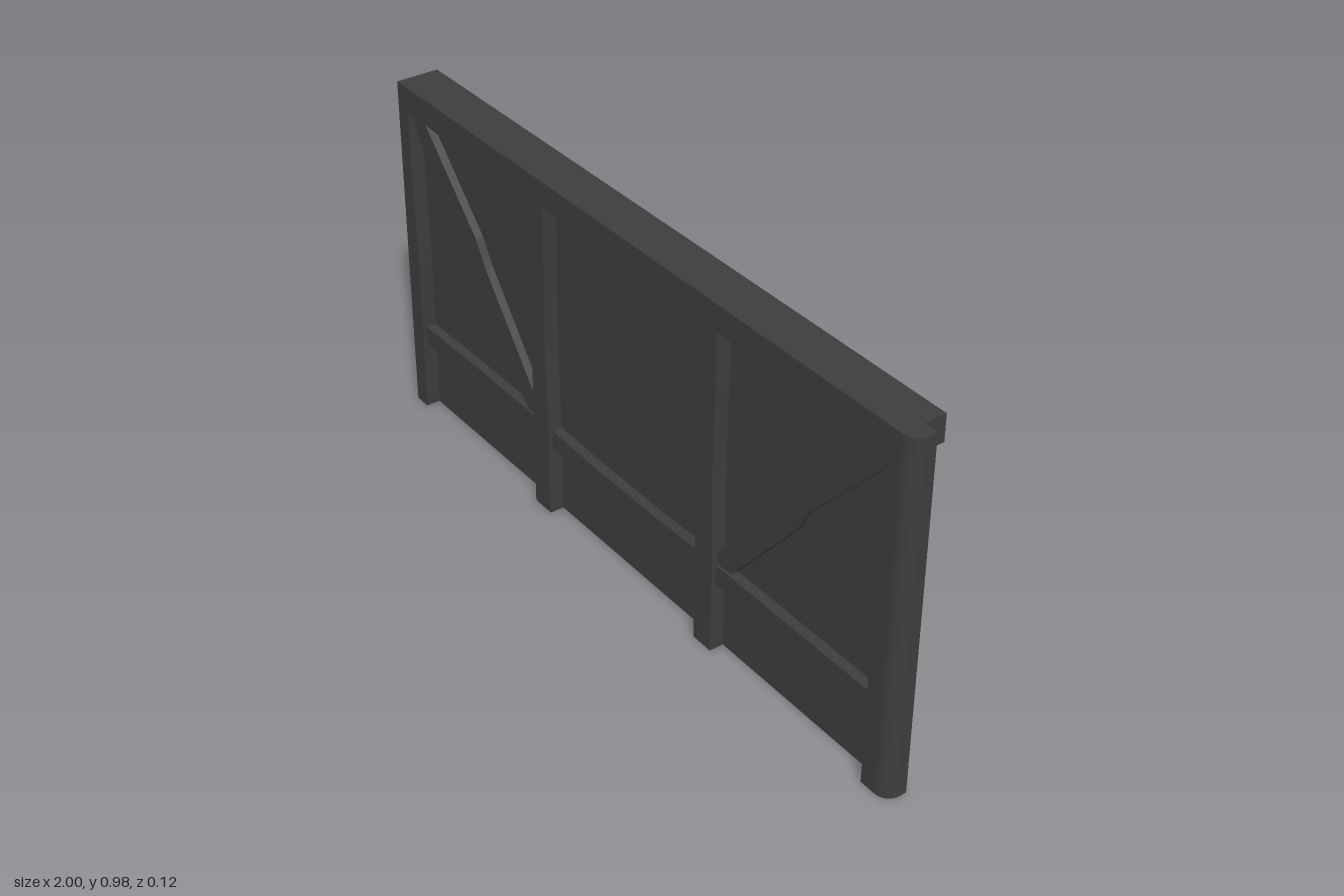
import * as THREE from 'three';

export function createModel() {
  const model = new THREE.Group();
  const material = new THREE.MeshStandardMaterial({ color: 0x3d3d3d });

  const add = (name, geometry) => {
    const mesh = new THREE.Mesh(geometry, material);
    mesh.name = name;
    model.add(mesh);
    return mesh;
  };

  // Flat timber cut from an outline in x and y, reaching from z0 to z1
  const timber = (name, points, z0, z1) => {
    const shape = new THREE.Shape(points.map(([x, y]) => new THREE.Vector2(x, y)));
    const geometry = new THREE.ExtrudeGeometry(shape, { depth: z1 - z0, bevelEnabled: false });
    return add(name, geometry.translate(0, 0, z0));
  };

  // Backing panel
  const panel = new THREE.BoxGeometry(1.96, 0.95, 0.043);
  add('panel', panel.translate(-0.02, 0.475, -0.0015));

  // Top rail and the lip overhanging the back, with uneven undersides
  timber('topRail', [
    [-1, 0.98], [-1, 0.909], [-0.955, 0.909], [-0.6, 0.906], [-0.33, 0.912],
    [0.05, 0.909], [0.3, 0.904], [0.36, 0.908], [0.6, 0.913], [0.914, 0.909], [0.914, 0.98],
  ], 0, 0.06);
  timber('backLip', [
    [-1, 0.98], [-1, 0.909], [-0.6, 0.906], [-0.33, 0.912],
    [0.05, 0.909], [0.3, 0.905], [0.6, 0.912], [0.96, 0.909], [0.96, 0.98],
  ], -0.06, 0);

  // Left end post
  timber('leftEndPost', [
    [-1, 0], [-0.952, 0], [-0.948, 0.2], [-0.946, 0.45], [-0.953, 0.68], [-0.955, 0.909], [-1, 0.909],
  ], 0, 0.06);

  // Right end post with a rounded outer corner, drawn in plan and stood up
  const plan = new THREE.Shape();
  plan.moveTo(0.914, 0);
  plan.lineTo(0.914, -0.06);
  plan.lineTo(0.96, -0.06);
  plan.absarc(0.96, -0.02, 0.04, -Math.PI / 2, 0, false);
  plan.lineTo(1, 0);
  const post = new THREE.ExtrudeGeometry(plan, { depth: 0.98, bevelEnabled: false, curveSegments: 16 });
  add('rightEndPost', post.rotateX(-Math.PI / 2));

  // Inner posts, slightly hand-hewn
  timber('innerPost', [
    [-0.402, 0], [-0.333, 0], [-0.333, 0.3], [-0.34, 0.48], [-0.336, 0.7], [-0.333, 0.915],
    [-0.404, 0.915], [-0.406, 0.66], [-0.4, 0.4],
  ], 0, 0.0595);
  timber('innerPost', [
    [0.288, 0], [0.354, 0], [0.354, 0.3], [0.35, 0.55], [0.354, 0.75], [0.354, 0.915],
    [0.286, 0.915], [0.289, 0.7], [0.295, 0.5], [0.288, 0.28],
  ], 0, 0.0595);

  // Lower rail passing behind the posts
  timber('lowerRail', [
    [-0.98, 0.2], [-0.4, 0.2], [-0.33, 0.2], [-0.02, 0.195], [0.28, 0.2], [0.95, 0.2],
    [0.95, 0.257], [0.28, 0.257], [0.1, 0.25], [-0.15, 0.25], [-0.34, 0.256], [-0.7, 0.26], [-0.98, 0.256],
  ], 0, 0.048);

  // Diagonal braces in the outer bays
  timber('brace', [
    [-0.965, 0.875], [-0.73, 0.583], [-0.7, 0.524], [-0.442, 0.246], [-0.38, 0.264],
    [-0.404, 0.294], [-0.634, 0.588], [-0.676, 0.658], [-0.912, 0.904], [-0.93, 0.93],
  ], 0, 0.042);
  timber('brace', [
    [0.395, 0.246], [0.628, 0.524], [0.66, 0.588], [0.924, 0.878], [0.9, 0.93],
    [0.874, 0.904], [0.596, 0.588], [0.356, 0.294], [0.335, 0.264],
  ], 0, 0.042);

  return model;
}
